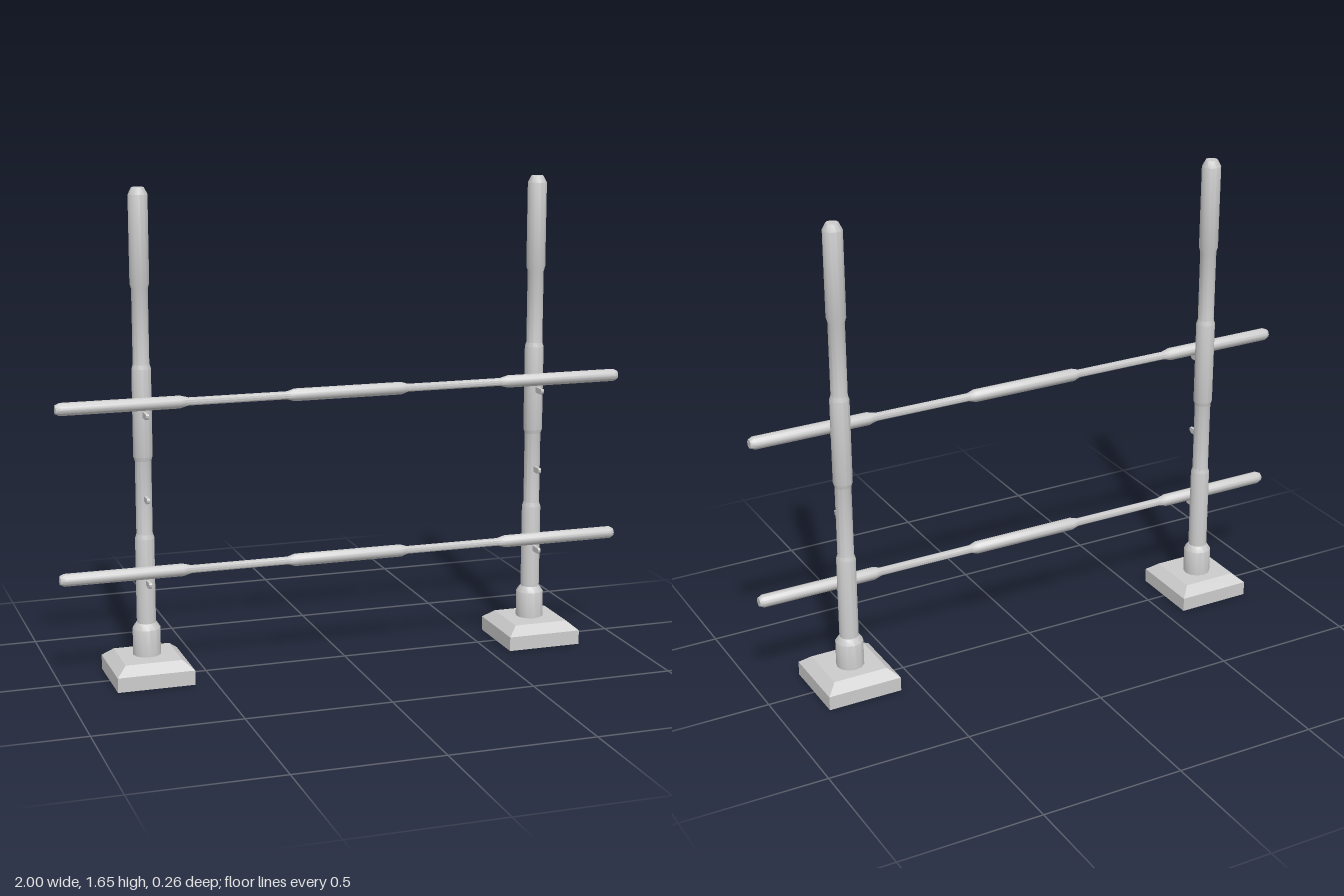
import * as THREE from 'three';
import { toCreasedNormals } from 'three/addons/utils/BufferGeometryUtils.js';

const material = new THREE.MeshStandardMaterial({ color: 0xcccccc });

// Closed turned solid from [radius, height] pairs listed bottom to top
function turned(profile, sides, phase = 0) {
  const points = profile.map(([r, y]) => new THREE.Vector2(r, y));
  return toCreasedNormals(new THREE.LatheGeometry(points, sides, phase), 0.6);
}

function addMesh(parent, name, geometry, x = 0, y = 0, z = 0) {
  const mesh = new THREE.Mesh(geometry, material);
  mesh.name = name;
  mesh.position.set(x, y, z);
  parent.add(mesh);
  return mesh;
}

// Flat peg with a rounded lower front corner, its tip pointing to +z
function pegGeometry(length) {
  const h = 0.01, w = 0.01;
  const shape = new THREE.Shape();
  shape.moveTo(0, -h);
  shape.lineTo(length - 0.015, -h);
  shape.quadraticCurveTo(length, -h, length, h * 0.6);
  shape.lineTo(length - 0.003, h);
  shape.lineTo(0, h);
  const geometry = new THREE.ExtrudeGeometry(shape, { depth: w, bevelEnabled: false, curveSegments: 4 });
  return geometry.translate(0, 0, -w / 2).rotateY(-Math.PI / 2);
}

export function createModel() {
  const model = new THREE.Group();
  model.name = 'hurdleRack';

  // Square foot with a sloping upper edge
  const q = Math.SQRT2;
  const foot = turned([
    [0, 0], [0.132 * q, 0], [0.132 * q, 0.05], [0.097 * q, 0.08], [0, 0.08],
  ], 4, Math.PI / 4);

  // Socket around the bottom of the post
  const socket = turned([
    [0, 0.075], [0.048, 0.075], [0.048, 0.172], [0.034, 0.192], [0, 0.192],
  ], 12);

  // Post with alternating thick and thin lengths
  const thick = 0.033, thin = 0.028;
  const post = turned([
    [0, 0.08], [thick, 0.08], [thick, 0.485], [thin, 0.5],
    [thin, 0.75], [thick, 0.765], [thick, 1.06], [thin, 1.075],
    [thin, 1.325], [thick, 1.342], [thick, 1.632], [0.021, 1.655], [0, 1.655],
  ], 12);

  // Pegs as [height, length]
  const pegs = [[0.336, 0.08], [0.624, 0.071], [0.91, 0.08]];

  for (const side of [-1, 1]) {
    const upright = new THREE.Group();
    upright.name = side > 0 ? 'leftUpright' : 'rightUpright';
    upright.position.x = side * 0.702;
    model.add(upright);
    addMesh(upright, 'foot', foot);
    addMesh(upright, 'socket', socket, 0, 0, -0.01);
    addMesh(upright, 'post', post, 0, 0, -0.01);
    for (const [y, length] of pegs) addMesh(upright, 'peg', pegGeometry(length), 0, y, -0.01);
  }

  // Rails: thick ends and middle, mirrored about the centre
  const half = [[0.022, 0.19], [0.014, 0.215], [0.014, 0.555], [0.022, 0.585], [0.022, 0.985], [0.015, 1], [0, 1]];
  const rail = turned([...half.map(([r, y]) => [r, -y]).reverse(), ...half], 12).rotateZ(Math.PI / 2);
  addMesh(model, 'lowerRail', rail, 0, 0.375, 0.036);
  addMesh(model, 'upperRail', rail, 0, 0.949, 0.036);

  return model;
}
